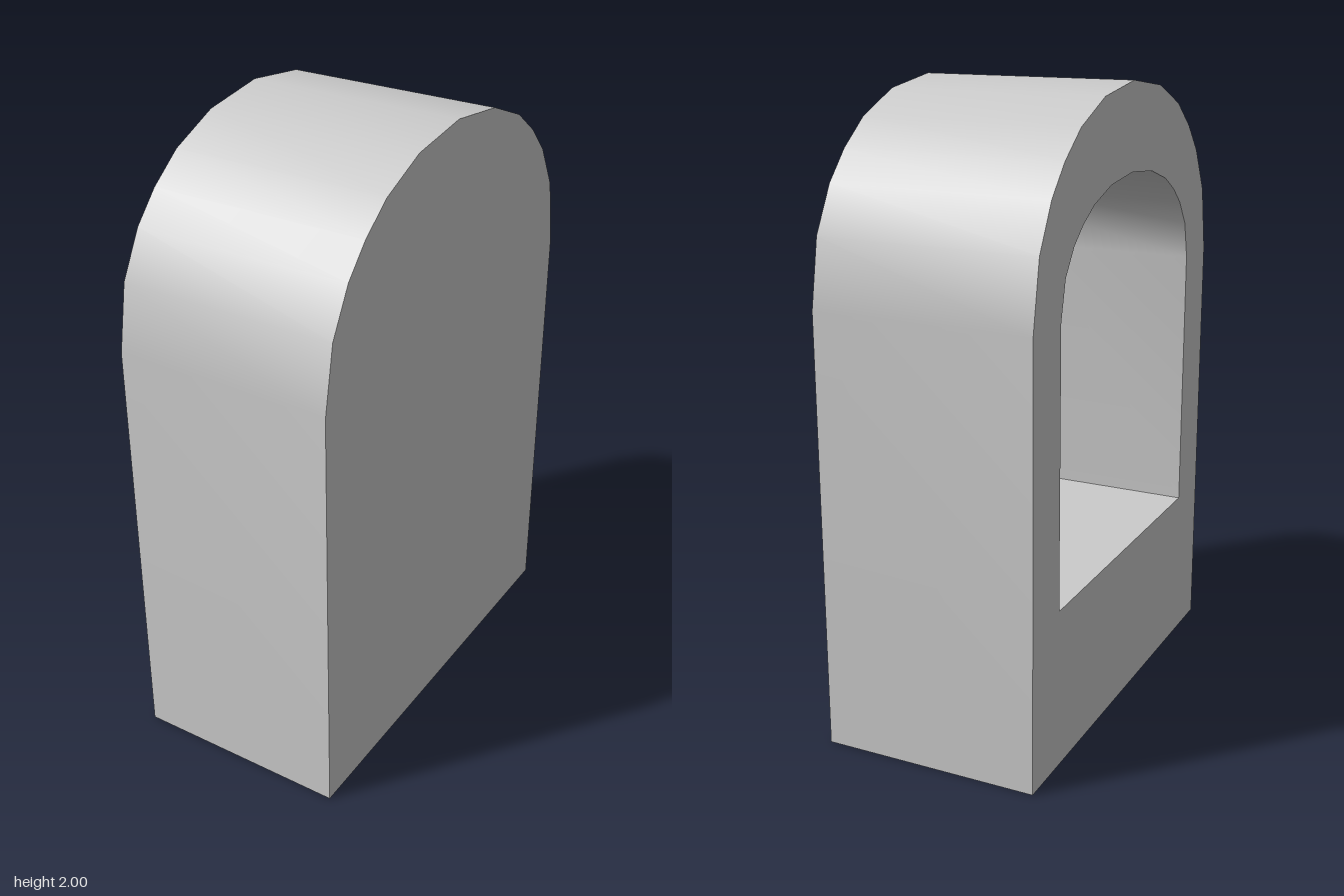
import * as THREE from 'three';
import { mergeGeometries, toCreasedNormals } from 'three/addons/utils/BufferGeometryUtils.js';

const HALF_DEPTH = 0.348;   // half thickness of the block
const RECESS_BACK = -0.172; // back wall of the niche, before turning
const SPRING = 1.38;        // height where the arches begin

// Half of the arch as fractions of its half width and rise, apex excluded
const ARCH = [[1, 0], [0.945, 0.34], [0.835, 0.565], [0.715, 0.71], [0.56, 0.84], [0.318, 0.952]];

// Arched outline, counter-clockwise; the extra point under the spring keeps the straight walls flat
function archOutline(halfWidth, bottom, top) {
  const right = [[halfWidth, bottom], [halfWidth, SPRING - 0.01]];
  ARCH.forEach(([u, v]) => right.push([u * halfWidth, SPRING + v * (top - SPRING)]));
  const left = right.map(([x, y]) => [-x, y]).reverse();
  return [...right, [0, top], ...left].map(([x, y]) => new THREE.Vector2(x, y));
}

// Wall running around a closed outline between two depths
function wall(points, z0, z1) {
  const pos = [];
  points.forEach((p, i) => {
    const q = points[(i + 1) % points.length];
    pos.push(p.x, p.y, z0, q.x, q.y, z0, q.x, q.y, z1);
    pos.push(p.x, p.y, z0, q.x, q.y, z1, p.x, p.y, z1);
  });
  return new THREE.BufferGeometry().setAttribute('position', new THREE.Float32BufferAttribute(pos, 3));
}

// Flat face filling an outline, optionally with a hole
function face(points, z, hole) {
  const shape = new THREE.Shape(points);
  if (hole) shape.holes.push(new THREE.Path(hole));
  const geo = new THREE.ShapeGeometry(shape).toNonIndexed();
  geo.deleteAttribute('normal');
  geo.deleteAttribute('uv');
  return geo.translate(0, 0, z);
}

export function createModel() {
  const group = new THREE.Group();
  group.name = 'archedNiche';
  const material = new THREE.MeshStandardMaterial({ color: 0xcccccc });

  const addPart = (name, pieces) => {
    const geo = toCreasedNormals(mergeGeometries(pieces), 0.5);
    geo.rotateY(-Math.PI / 2); // the opening faces -x
    const mesh = new THREE.Mesh(geo, material);
    mesh.name = name;
    group.add(mesh);
  };

  const outer = archOutline(0.696, 0, 2);
  const inner = archOutline(0.515, 0.51, 1.73);

  // Block: outer wall, closed back and the frame around the opening
  const back = face(outer, 0).rotateY(Math.PI).translate(0, 0, -HALF_DEPTH);
  addPart('archedBlock', [wall(outer, -HALF_DEPTH, HALF_DEPTH), back, face(outer, HALF_DEPTH, inner)]);

  // Niche: inward-facing wall and its back panel
  addPart('nicheRecess', [wall([...inner].reverse(), RECESS_BACK, HALF_DEPTH), face(inner, RECESS_BACK)]);

  return group;
}
